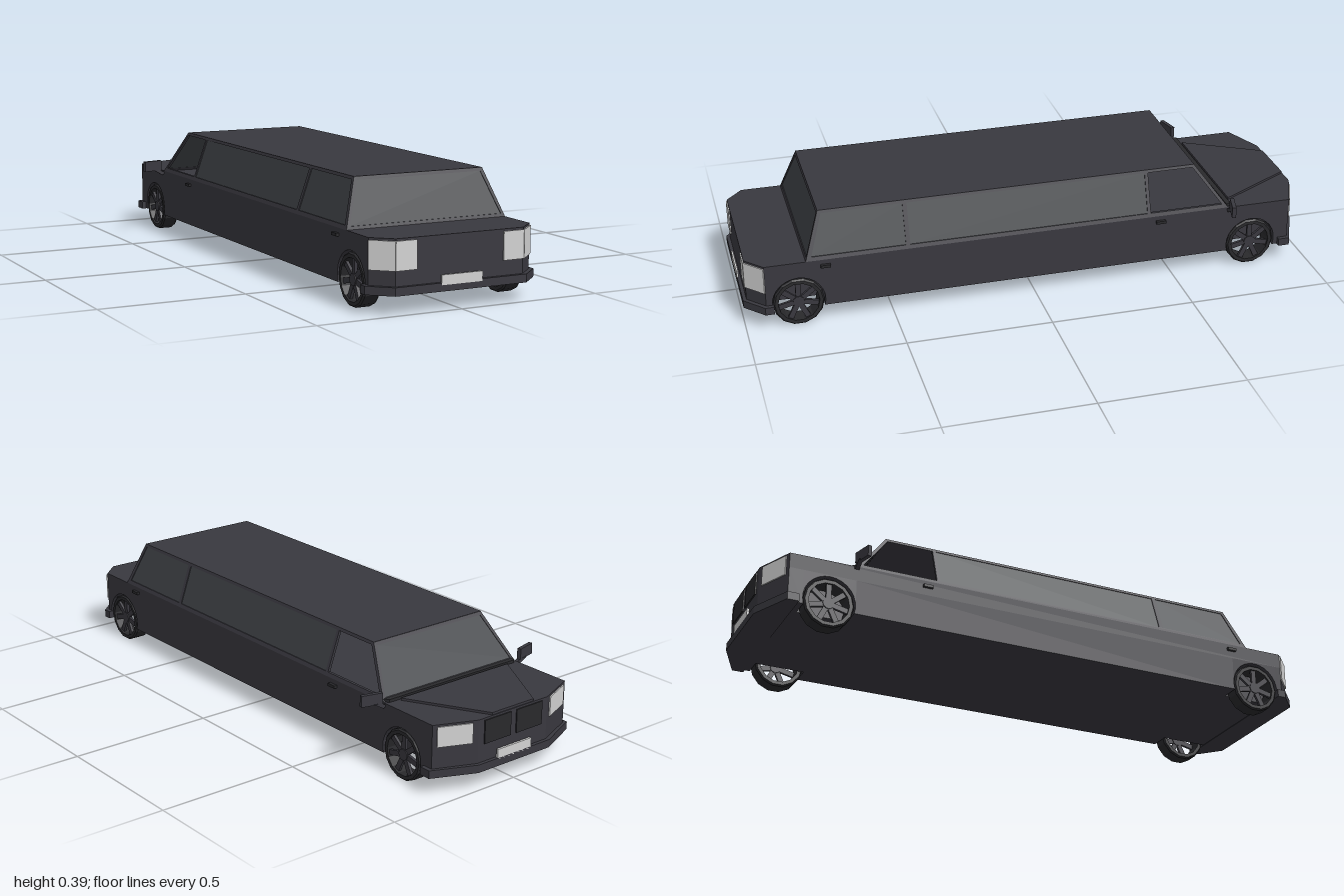
import * as THREE from 'three';

const material = (name, color) => {
  const m = new THREE.MeshStandardMaterial({ color, side: THREE.DoubleSide });
  m.name = name;
  return m;
};

export function createModel() {
  const paint = material('charcoal paint', 0x39383f);
  const glass = material('tinted glass', 0x3d4044);
  const trim = material('black trim', 0x29292c);
  const lamp = material('pale lamp', 0xd2d2d2);

  const car = new THREE.Group();
  car.name = 'limousine';

  const add = (name, geometry, mat, parent = car) => {
    const mesh = new THREE.Mesh(geometry, mat);
    mesh.name = name;
    parent.add(mesh);
    return mesh;
  };
  const box = (name, size, pos, mat, parent) => {
    const mesh = add(name, new THREE.BoxGeometry(...size), mat, parent);
    mesh.position.set(...pos);
    return mesh;
  };
  const shapeOf = (pts) => new THREE.Shape(pts.map(([x, y]) => new THREE.Vector2(x, y)));

  // Horizontal slab from half a plan outline (x >= 0, rear to front), mirrored
  const slab = (name, half, y0, y1, mat) => {
    const left = half.map(([x, z]) => [-x, z]).reverse();
    const shape = shapeOf([...half, ...left].map(([x, z]) => [x, -z]));
    const g = new THREE.ExtrudeGeometry(shape, { depth: y1 - y0, bevelEnabled: false });
    g.rotateX(-Math.PI / 2).translate(0, y0, 0);
    return add(name, g, mat);
  };

  // Sloping panel with window holes; map places (u, y, depth) in space
  const panel = (name, outline, holes, depth, mat, map) => {
    const shape = shapeOf(outline);
    shape.holes = holes.map(shapeOf);
    const g = new THREE.ExtrudeGeometry(shape, { depth, bevelEnabled: false });
    const p = g.attributes.position;
    for (let i = 0; i < p.count; i++) p.setXYZ(i, ...map(p.getX(i), p.getY(i), p.getZ(i)));
    g.computeVertexNormals();
    return add(name, g, mat);
  };

  // Thin upright plate between two plan points
  const plate = (name, [xa, za], [xb, zb], y0, y1, mat, thick = 0.006) => {
    const mesh = box(name, [Math.hypot(xb - xa, zb - za), y1 - y0, thick],
      [(xa + xb) / 2, (y0 + y1) / 2, (za + zb) / 2], mat);
    mesh.rotation.y = Math.atan2(za - zb, xb - xa);
  };

  // Lower body with wheel notches, and the full-width upper body
  const wheelZ = [0.82, -0.79];
  const notches = wheelZ.flatMap((z) =>
    [[0.29, z + 0.09], [0.22, z + 0.09], [0.22, z - 0.09], [0.29, z - 0.09]]);
  const rearEnd = [[0.228, 0.988], [0.29, 0.93]];
  const frontEnd = [[0.29, -0.93], [0.15, -0.988]];
  slab('lowerBody', [...rearEnd, ...notches, ...frontEnd], 0.065, 0.185, paint);
  slab('upperBody', [...rearEnd, ...frontEnd], 0.185, 0.237, paint);

  // Raised bonnet and windscreen cowl
  slab('bonnet', [[0.235, -0.72], [0.09, -0.985]], 0.237, 0.245, paint);
  slab('cowl', [[0.285, -0.695], [0.275, -0.712]], 0.237, 0.247, trim);

  // Bumpers
  slab('rearBumper', [[0.235, 1], [0.305, 0.935], [0.305, 0.905], [0.285, 0.905]], 0.063, 0.09, paint);
  slab('frontBumper', [[0.285, -0.895], [0.305, -0.895], [0.305, -0.935], [0.155, -1]], 0.063, 0.09, paint);

  // Cabin walls lean inwards from the waist to the roof
  const Y0 = 0.237, Y1 = 0.393;
  const lean = (a, b, y) => a + (b - a) * (y - Y0) / (Y1 - Y0);
  const sideWall = [[0.79, Y0], [0.735, Y1], [-0.585, Y1], [-0.7, Y0]];
  const rearSide = [[0.77, 0.25], [0.725, 0.384], [0.45, 0.384], [0.45, 0.25]];
  const midSide = [[0.435, 0.25], [0.435, 0.384], [-0.403, 0.384], [-0.403, 0.25]];
  const openSide = [[-0.415, 0.25], [-0.415, 0.384], [-0.578, 0.384], [-0.677, 0.25]];
  for (const s of [1, -1]) {
    const map = (inset) => (u, y, d) => [s * (lean(0.29, 0.235, y) - d - inset), y, u];
    panel('cabinSide', sideWall, [rearSide, midSide, openSide], 0.01, paint, map(0));
    panel('rearSideWindow', rearSide, [], 0.003, glass, map(0.003));
    panel('longSideWindow', midSide, [], 0.003, glass, map(0.003));
  }
  const endWall = [[-0.29, Y0], [0.29, Y0], [0.235, Y1], [-0.235, Y1]];
  const endGlass = [[-0.276, 0.247], [0.276, 0.247], [0.226, 0.383], [-0.226, 0.383]];
  for (const [name, dir, zLow, zHigh] of [['rear', 1, 0.79, 0.735], ['windscreen', -1, -0.7, -0.585]]) {
    const map = (inset) => (u, y, d) => [u, y, lean(zLow, zHigh, y) - dir * (d + inset)];
    panel(name + 'Frame', endWall, [endGlass], 0.01, paint, map(0));
    panel(name + 'Glass', endGlass, [], 0.003, glass, map(0.003));
  }
  slab('roof', [[0.235, 0.735], [0.235, -0.585]], 0.386, 0.394, paint);

  // Lamps, handles and mirrors on both sides
  for (const s of [1, -1]) {
    plate('tailLamp', [s * 0.155, 0.989], [s * 0.229, 0.989], 0.138, 0.23, lamp);
    plate('tailLampCorner', [s * 0.229, 0.989], [s * 0.291, 0.931], 0.138, 0.23, lamp);
    plate('headLamp', [s * 0.168, -0.982], [s * 0.276, -0.937], 0.162, 0.23, lamp);
    plate('grille', [s * 0.012, -0.989], [s * 0.125, -0.989], 0.15, 0.23, trim);
    for (const z of [0.725, -0.45]) box('doorHandle', [0.014, 0.01, 0.034], [s * 0.294, 0.216, z], trim);

    const arm = shapeOf([[0.285, 0.23], [0.298, 0.222], [0.335, 0.243], [0.31, 0.243]]);
    const armGeo = new THREE.ExtrudeGeometry(arm, { depth: 0.014, bevelEnabled: false });
    armGeo.translate(0, 0, -0.71);
    add('mirrorArm', armGeo, paint).scale.x = s;
    const mirror = box('mirror', [0.074, 0.038, 0.014], [s * 0.338, 0.259, -0.697], paint);
    mirror.rotation.y = -s * 0.25;
  }

  // Number plates, blank
  plate('rearPlate', [-0.073, 0.998], [0.073, 0.998], 0.083, 0.115, lamp);
  plate('frontPlate', [-0.073, -0.996], [0.073, -0.996], 0.085, 0.12, lamp, 0.008);

  // Wheel arch fillers and open spoked wheels
  const arch = shapeOf([[0.09, 0.065], [0.09, 0.185], [-0.09, 0.185], [-0.09, 0.065], [-0.0863, 0.065]]);
  const a0 = Math.asin(-0.025 / 0.09);
  arch.absarc(0, 0.09, 0.09, Math.PI - a0, a0, true);
  const archGeo = new THREE.ExtrudeGeometry(arch, { depth: 0.07, bevelEnabled: false, curveSegments: 8 });
  archGeo.rotateY(-Math.PI / 2);

  const tyreProfile = [[0.07, -0.03], [0.082, -0.03], [0.087, -0.024], [0.087, 0.024],
    [0.082, 0.03], [0.07, 0.03], [0.07, -0.03]].map(([r, h]) => new THREE.Vector2(r, h));
  const tyreGeo = new THREE.LatheGeometry(tyreProfile, 14).toNonIndexed();
  tyreGeo.computeVertexNormals();
  tyreGeo.rotateZ(-Math.PI / 2);
  const hubGeo = new THREE.CylinderGeometry(0.02, 0.02, 0.016, 10).rotateZ(Math.PI / 2);

  for (const z of wheelZ) for (const s of [1, -1]) {
    add('wheelArch', archGeo, paint).position.set(s > 0 ? 0.29 : -0.22, 0, z);
    const wheel = new THREE.Group();
    wheel.name = 'wheel';
    wheel.position.set(s * 0.259, 0.087, z);
    car.add(wheel);
    add('tyre', tyreGeo, trim, wheel);
    add('hub', hubGeo, paint, wheel).position.x = s * 0.018;
    for (let i = 0; i < 7; i++) {
      const a = (i / 7) * Math.PI * 2;
      const spoke = box('spoke', [0.01, 0.062, 0.018],
        [s * 0.018, Math.cos(a) * 0.042, Math.sin(a) * 0.042], paint, wheel);
      spoke.rotation.x = a;
    }
  }
  return car;
}
